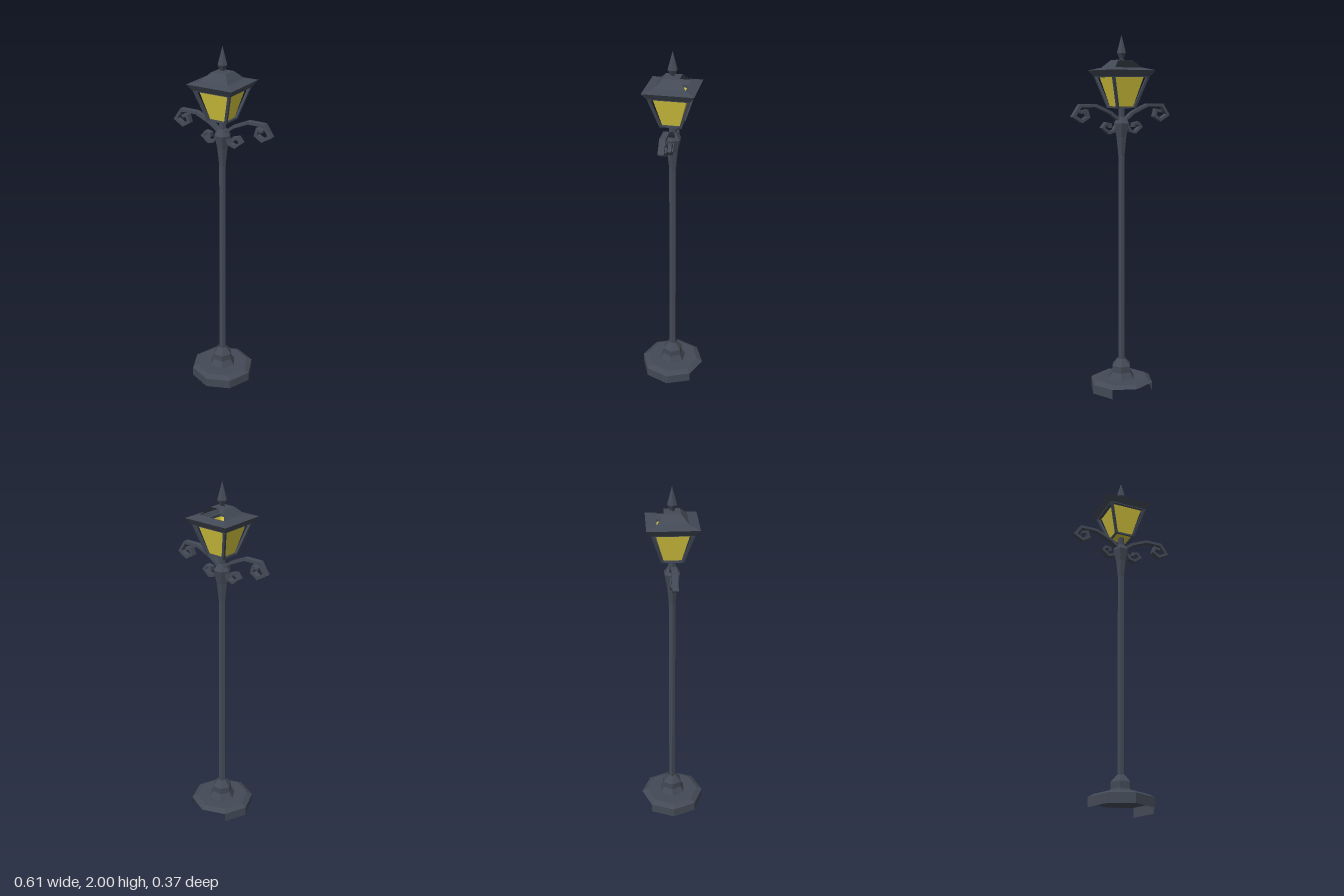
import * as THREE from 'three';

const iron = new THREE.MeshStandardMaterial({ color: 0x434a56, side: THREE.DoubleSide });
iron.name = 'dark iron';
const yellow = new THREE.MeshStandardMaterial({ color: 0xd8c83f, side: THREE.DoubleSide });
yellow.name = 'yellow glass';

const V = (x, y, z) => new THREE.Vector3(x, y, z);

// Give every face its own flat normal
function flat(geometry) {
  const g = geometry.index ? geometry.toNonIndexed() : geometry;
  g.computeVertexNormals();
  return g;
}

function addMesh(parent, name, geometry, material = iron) {
  const mesh = new THREE.Mesh(flat(geometry), material);
  mesh.name = name;
  parent.add(mesh);
  return mesh;
}

// Faceted solid of revolution; start and length are in degrees, profile runs bottom to top
function facets(profile, sides, start = 0, length = 360) {
  const pts = profile.map(([r, y]) => new THREE.Vector2(r, y));
  const rad = THREE.MathUtils.degToRad;
  return new THREE.LatheGeometry(pts, sides, rad(start), rad(length));
}

// Square tapered shell: profile holds half widths
const square = (profile, sides = 4, start = 45, length = 360) =>
  facets(profile.map(([h, y]) => [h * Math.SQRT2, y]), sides, start, length);

// Square bar between two points
function bar(parent, name, a, b, w) {
  const mesh = addMesh(parent, name, new THREE.BoxGeometry(w, a.distanceTo(b), w));
  mesh.position.copy(a).add(b).multiplyScalar(0.5);
  mesh.quaternion.setFromUnitVectors(V(0, 1, 0), b.clone().sub(a).normalize());
}

// Flat iron strip following a polyline in the xy plane, with mitred corners
function strip(path, width, depth) {
  const p = path.map(([x, y]) => new THREE.Vector2(x, y));
  const normal = (a, b) => {
    const d = b.clone().sub(a).normalize();
    return new THREE.Vector2(-d.y, d.x);
  };
  const left = [], right = [];
  p.forEach((q, i) => {
    const n1 = normal(p[Math.max(i - 1, 0)], p[Math.max(i, 1)]);
    const n2 = normal(p[Math.min(i, p.length - 2)], p[Math.min(i + 1, p.length - 1)]);
    const m = n1.clone().add(n2).normalize();
    m.multiplyScalar(width / 2 / Math.max(m.dot(n1), 0.5));
    left.push(q.clone().add(m));
    right.unshift(q.clone().sub(m));
  });
  const g = new THREE.ExtrudeGeometry(new THREE.Shape([...left, ...right]), { depth, bevelEnabled: false });
  return g.translate(0, 0, -depth / 2);
}

export function createModel() {
  const model = new THREE.Group();
  model.name = 'streetLamp';

  // Hollow octagonal foot: the wall is open on its two back sides
  const base = new THREE.Group();
  base.name = 'base';
  model.add(base);
  addMesh(base, 'baseWall', facets([[0.183, 0], [0.183, 0.053]], 6, 225, 270));
  addMesh(base, 'baseTop', facets([[0.183, 0.053], [0.152, 0.07], [0, 0.07]], 8));
  addMesh(base, 'pedestal', facets([[0.08, 0.07], [0.058, 0.105], [0.058, 0.142], [0.024, 0.182]], 6, 90));

  // Post and flared collar
  addMesh(model, 'pole', facets([[0.02, 0.17], [0.02, 1.61], [0, 1.61]], 6, 90));
  addMesh(model, 'collar', facets(
    [[0.02, 1.35], [0.031, 1.45], [0.048, 1.525], [0.024, 1.56], [0.018, 1.56]], 6, 90));

  // Scrolled brackets on both sides
  const large = [[0.01, 1.535], [0.07, 1.582], [0.16, 1.622], [0.255, 1.622], [0.292, 1.567],
    [0.245, 1.539], [0.208, 1.562], [0.217, 1.594], [0.25, 1.588]];
  const small = [[0.02, 1.535], [0.05, 1.482], [0.082, 1.473], [0.118, 1.503], [0.1, 1.525],
    [0.074, 1.52], [0.072, 1.502]];
  for (const [side, turn] of [['left', 0], ['right', Math.PI]]) {
    const bracket = new THREE.Group();
    bracket.name = side + 'Bracket';
    bracket.rotation.y = turn;
    addMesh(bracket, 'largeScroll', strip(large, 0.016, 0.032));
    addMesh(bracket, 'smallScroll', strip(small, 0.014, 0.032));
    model.add(bracket);
  }

  // Lantern: glass inside a frame of leaning corner bars
  const lantern = new THREE.Group();
  lantern.name = 'lantern';
  model.add(lantern);
  addMesh(lantern, 'glass', square([[0, 1.613], [0.046, 1.613], [0.089, 1.777]]), yellow);
  for (let i = 0; i < 4; i++) {
    const side = new THREE.Group();
    side.name = 'frameSide';
    side.rotation.y = i * Math.PI / 2;
    lantern.add(side);
    bar(side, 'cornerBar', V(0.052, 1.609, 0.052), V(0.107, 1.785, 0.107), 0.014);
    bar(side, 'bottomBar', V(-0.052, 1.612, 0.052), V(0.052, 1.612, 0.052), 0.01);
    bar(side, 'topBar', V(-0.104, 1.78, 0.104), V(0.104, 1.78, 0.104), 0.014);
  }

  // Roof: wide eave, then a steeper cap open at the back
  const roof = new THREE.Group();
  roof.name = 'roof';
  model.add(roof);
  addMesh(roof, 'eave', square([[0.113, 1.777], [0.136, 1.811], [0.082, 1.825]]));
  addMesh(roof, 'capSides', square([[0.082, 1.825], [0.043, 1.866]], 3, 225, 270));
  addMesh(roof, 'capTop', square([[0.043, 1.866], [0, 1.866]]));

  // Pointed finial
  addMesh(model, 'finial', facets([[0.018, 1.864], [0.012, 1.873], [0.028, 1.903], [0, 2]], 6, 90));
  return model;
}
